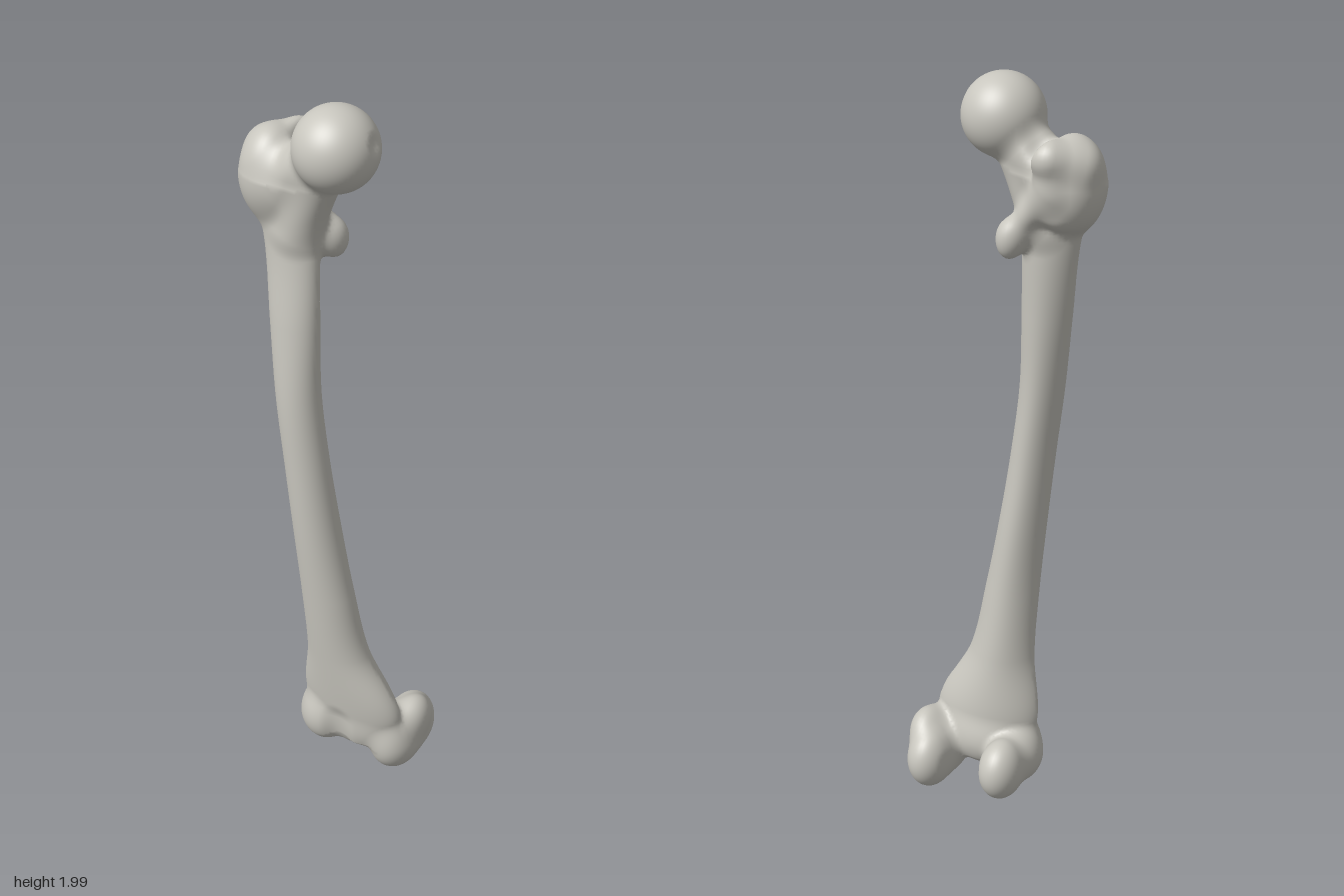
import * as THREE from 'three';

const V = (x, y, z) => new THREE.Vector3(x, y, z);
const { clamp, lerp } = THREE.MathUtils;

// Smooth minimum: joins two rounded forms with a soft fillet of size k
const smin = (a, b, k) => {
  const h = Math.max(k - Math.abs(a - b), 0) / k;
  return Math.min(a, b) - h * h * k * 0.25;
};

// Distance to an ellipsoid
const ball = (cx, cy, cz, rx, ry, rz) => (x, y, z) => {
  const a = (x - cx) / rx, b = (y - cy) / ry, c = (z - cz) / rz;
  const k0 = Math.hypot(a, b, c), k1 = Math.hypot(a / rx, b / ry, c / rz);
  return k1 < 1e-6 ? -Math.min(rx, ry, rz) : k0 * (k0 - 1) / k1;
};

// Distance to a tapered rod with round ends
const rod = (a, ra, b, rb) => {
  const d = b.clone().sub(a), l2 = d.lengthSq();
  return (x, y, z) => {
    const px = x - a.x, py = y - a.y, pz = z - a.z;
    const t = clamp((px * d.x + py * d.y + pz * d.z) / l2, 0, 1);
    return Math.hypot(px - d.x * t, py - d.y * t, pz - d.z * t) - lerp(ra, rb, t);
  };
};

// Shaft sections every 0.2 in height: right edge, left edge, back, front
const sections = [
  [0.00, 0.13, -0.02, 0.06],
  [-0.085, 0.21, -0.045, 0.095],
  [-0.065, 0.12, -0.02, 0.115],
  [-0.07, 0.08, 0.0, 0.13],
  [-0.085, 0.045, 0.01, 0.14],
  [-0.105, 0.015, 0.02, 0.142],
  [-0.13, -0.01, 0.02, 0.138],
  [-0.155, -0.02, 0.01, 0.118],
  [-0.182, -0.03, -0.003, 0.092],
  [-0.225, -0.03, -0.01, 0.09],
];
const sectionAt = (y) => {
  const n = sections.length - 1;
  const s = clamp(y / 0.2, 0, n - 1e-4), i = Math.floor(s), t = s - i;
  const row = (j) => sections[clamp(j, 0, n)];
  return [0, 1, 2, 3].map((c) => {
    const p0 = row(i - 1)[c], p1 = row(i)[c], p2 = row(i + 1)[c], p3 = row(i + 2)[c];
    return p1 + 0.5 * t * (p2 - p0 + t * (2 * p0 - 5 * p1 + 4 * p2 - p3 + t * (3 * (p1 - p2) + p3 - p0)));
  });
};
let cacheY = NaN, cacheS;
const shaft = (x, y, z) => {
  if (y !== cacheY) { cacheY = y; cacheS = sectionAt(y); }
  const [x0, x1, z0, z1] = cacheS;
  const rx = (x1 - x0) / 2, rz = (z1 - z0) / 2;
  const w = (z - (z0 + z1) / 2) / rz;
  // the back narrows towards a long ridge
  const u = (x - (x0 + x1) / 2) / rx * (1 + 0.22 * clamp(-w, 0, 1));
  const d = (Math.hypot(u, w) - 1) * Math.min(rx, rz);
  return Math.max(d, 0.11 - y, y - 1.75);
};

// Parts of the bone: name, form, fillet size
const forms = [
  ['shaft', shaft, 0.02],
  ['neck', rod(V(-0.13, 1.76, 0.035), 0.068, V(0.02, 1.885, 0.062), 0.058), 0.05],
  ['neck', rod(V(-0.09, 1.64, 0.042), 0.052, V(0, 1.84, 0.06), 0.048), 0.03],
  ['greaterTrochanter', ball(-0.172, 1.765, 0.025, 0.08, 0.12, 0.085), 0.03],
  ['greaterTrochanter', rod(V(-0.2, 1.82, 0.005), 0.043, V(-0.14, 1.84, -0.04), 0.043), 0.03],
  ['greaterTrochanter', rod(V(-0.14, 1.835, -0.038), 0.04, V(-0.15, 1.7, -0.012), 0.036), 0.025],
  ['trochantericCrest', rod(V(-0.14, 1.76, -0.035), 0.026, V(-0.035, 1.63, -0.005), 0.022), 0.04],
  ['lesserTrochanter', ball(-0.023, 1.612, -0.012, 0.033, 0.048, 0.036), 0.035],
  ['head', ball(0.03, 1.895, 0.065, 0.104, 0.104, 0.104), 0.02],
  ['kneeBridge', ball(0.06, 0.14, 0.012, 0.13, 0.08, 0.075), 0.03],
  ['medialCondyle', ball(0.177, 0.095, -0.085, 0.062, 0.09, 0.085), 0.025],
  ['medialCondyle', ball(0.175, 0.1, -0.015, 0.07, 0.095, 0.09), 0.025],
  ['medialCondyle', ball(0.205, 0.155, -0.05, 0.046, 0.06, 0.065), 0.025],
  ['lateralCondyle', ball(-0.038, 0.115, -0.085, 0.06, 0.085, 0.079), 0.025],
  ['lateralCondyle', ball(-0.045, 0.115, 0, 0.067, 0.08, 0.08), 0.025],
  ['lateralCondyle', ball(-0.02, 0.135, 0.04, 0.06, 0.085, 0.06), 0.025],
];
// Hollows: pit in the head, pit behind the neck, kneecap groove, notch between condyles
const hollows = [
  [ball(0.143, 1.93, 0.05, 0.02, 0.022, 0.022), 0.02],
  [ball(-0.098, 1.865, -0.025, 0.03, 0.04, 0.035), 0.03],
  [rod(V(0.055, 0.03, 0.1), 0.03, V(0.05, 0.17, 0.125), 0.035), 0.03],
  [rod(V(0.065, 0.01, -0.13), 0.036, V(0.067, 0.11, -0.125), 0.04), 0.03],
];

function field(x, y, z) {
  let d = 1;
  for (const [, f, k] of forms) d = smin(d, f(x, y, z), k);
  for (const [f, k] of hollows) d = -smin(-d, f(x, y, z), k);
  return d;
}

function partAt(x, y, z) {
  let best = Infinity, name = '';
  for (const [n, f] of forms) {
    const d = f(x, y, z);
    if (d < best) { best = d; name = n; }
  }
  return name;
}

function gradient(p) {
  const e = 0.002;
  return V(
    field(p.x + e, p.y, p.z) - field(p.x - e, p.y, p.z),
    field(p.x, p.y + e, p.z) - field(p.x, p.y - e, p.z),
    field(p.x, p.y, p.z + e) - field(p.x, p.y, p.z - e),
  ).divideScalar(2 * e);
}

// Skin the blended form: one point per grid cell crossed by the surface
function skin() {
  const h = 0.0095, min = [-0.29, -0.03, -0.21];
  const n = [0.58, 2.07, 0.42].map((s) => Math.ceil(s / h));
  const step = [1, n[0], n[0] * n[1]];
  const at = (a, i) => min[a] + i * h;
  const values = new Float32Array(n[0] * n[1] * n[2]);
  const each = (visit) => {
    for (let j = 0; j < n[1] - 1; j++)
      for (let k = 0; k < n[2] - 1; k++)
        for (let i = 0; i < n[0] - 1; i++) visit(i + j * step[1] + k * step[2], [i, j, k]);
  };
  values.fill(1);
  each((id, c) => { values[id] = field(at(0, c[0]), at(1, c[1]), at(2, c[2])); });

  const positions = [], normals = [], owners = [], cellPoint = new Map();
  each((id, c) => {
    let inside = 0;
    for (let q = 0; q < 8; q++)
      if (values[id + (q & 1) + (q >> 1 & 1) * step[1] + (q >> 2) * step[2]] < 0) inside++;
    if (inside === 0 || inside === 8) return;
    const p = V(at(0, c[0] + 0.5), at(1, c[1] + 0.5), at(2, c[2] + 0.5));
    for (let s = 0; s < 3; s++) {
      const g = gradient(p), l = Math.max(g.lengthSq(), 0.2);
      p.addScaledVector(g, -clamp(field(p.x, p.y, p.z) / l, -h, h));
    }
    cellPoint.set(id, owners.length);
    positions.push(p.x, p.y, p.z);
    normals.push(...gradient(p).normalize().toArray());
    owners.push(partAt(p.x, p.y, p.z));
  });

  // Join the four cells round every crossed grid edge, sorted by part
  const faces = {};
  each((id) => {
    for (let a = 0; a < 3; a++) {
      const v0 = values[id] < 0, v1 = values[id + step[a]] < 0;
      if (v0 === v1) continue;
      const b = step[(a + 1) % 3], c = step[(a + 2) % 3];
      const q = [id - b - c, id - c, id, id - b].map((i) => cellPoint.get(i));
      if (q.includes(undefined)) continue;
      if (!v0) q.reverse();
      (faces[owners[q[0]]] ??= []).push(q[0], q[1], q[2], q[0], q[2], q[3]);
    }
  });
  return { positions, normals, faces };
}

export function createModel() {
  const group = new THREE.Group();
  group.name = 'thighBone';
  const bone = new THREE.MeshStandardMaterial({ color: 0xc8c6be });
  bone.name = 'bone';

  const { positions, normals, faces } = skin();
  const position = new THREE.Float32BufferAttribute(positions, 3);
  const normal = new THREE.Float32BufferAttribute(normals, 3);
  for (const [name, index] of Object.entries(faces)) {
    const geometry = new THREE.BufferGeometry();
    geometry.setAttribute('position', position);
    geometry.setAttribute('normal', normal);
    geometry.setIndex(index);
    const mesh = new THREE.Mesh(geometry, bone);
    mesh.name = name;
    group.add(mesh);
  }
  return group;
}
